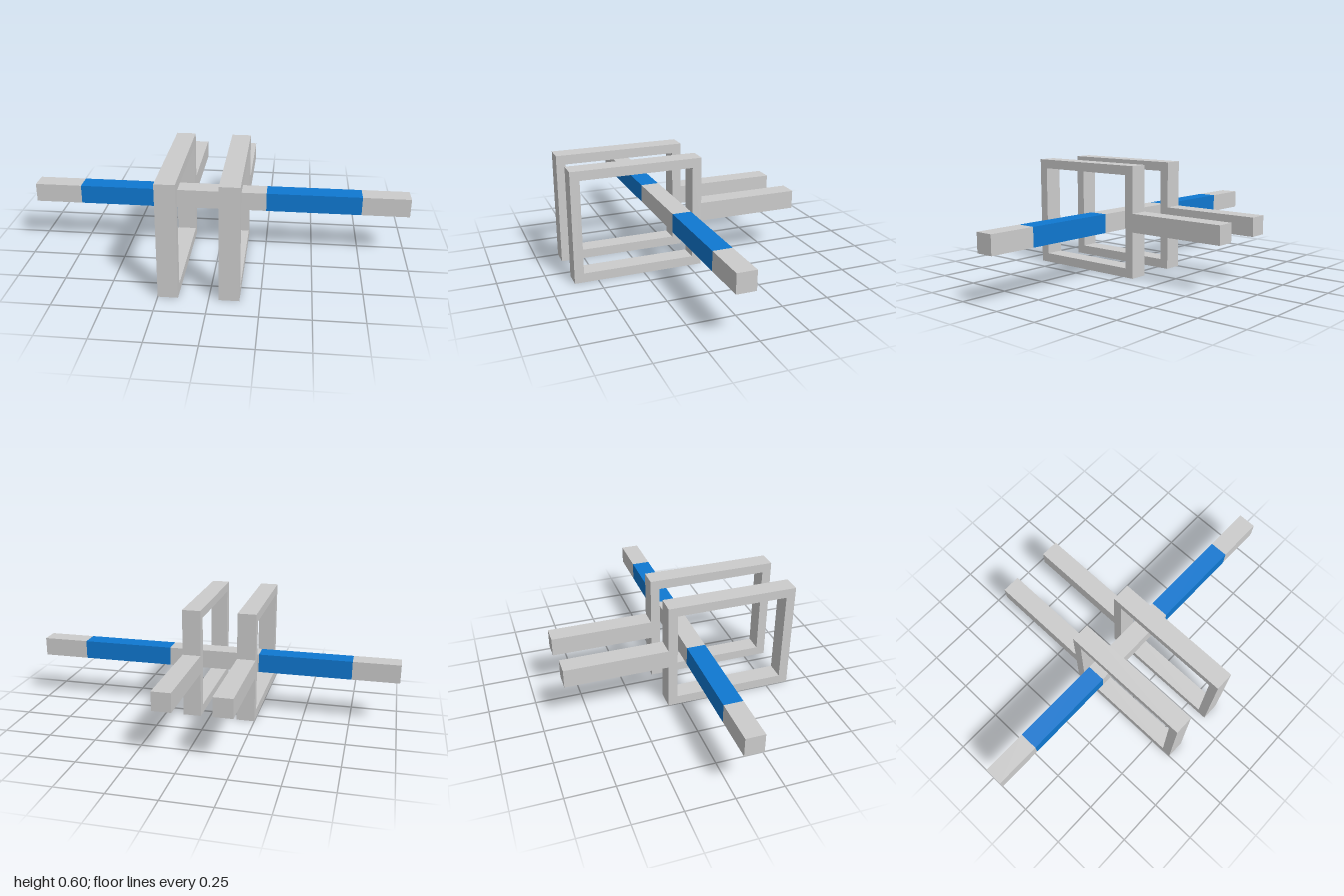
import * as THREE from 'three';

export function createModel() {
  const model = new THREE.Group();
  model.name = 'barWithLoopHandles';

  const grey = new THREE.MeshStandardMaterial({ color: 0xcccccc });
  grey.name = 'light grey';
  const blue = new THREE.MeshStandardMaterial({ color: 0x0f78d1 });
  blue.name = 'blue';

  // Crossbar: square segments laid end to end along x
  const segments = [
    ['rightEnd', -1, -0.75, grey],
    ['rightGrip', -0.75, -0.25, blue],
    ['barCentre', -0.25, 0.25, grey],
    ['leftGrip', 0.25, 0.75, blue],
    ['leftEnd', 0.75, 1, grey],
  ];
  for (const [name, x0, x1, material] of segments) {
    const segment = new THREE.Mesh(new THREE.BoxGeometry(x1 - x0, 0.1, 0.1), material);
    segment.name = name;
    segment.position.set((x0 + x1) / 2, 0.3, 0.075);
    model.add(segment);
  }

  // Side profile (z, y): rectangular loop with a handle stem at the back
  const points = (list) => list.map(([z, y]) => new THREE.Vector2(z, y));
  const profile = new THREE.Shape(points([
    [0.625, 0], [0.625, 0.6], [-0.075, 0.6], [-0.075, 0.35],
    [-0.625, 0.35], [-0.625, 0.25], [-0.075, 0.25], [-0.075, 0],
  ]));
  profile.holes.push(new THREE.Path(points([
    [0.575, 0.05], [-0.025, 0.05], [-0.025, 0.55], [0.575, 0.55],
  ])));
  const loopGeometry = new THREE.ExtrudeGeometry(profile, { depth: 0.1, bevelEnabled: false });
  loopGeometry.translate(0, 0, -0.05);
  loopGeometry.rotateY(-Math.PI / 2);

  // Two identical loops around the bar
  for (const [name, x] of [['rightLoopHandle', -0.2], ['leftLoopHandle', 0.1]]) {
    const loop = new THREE.Mesh(loopGeometry, grey);
    loop.name = name;
    loop.position.x = x;
    model.add(loop);
  }

  return model;
}
